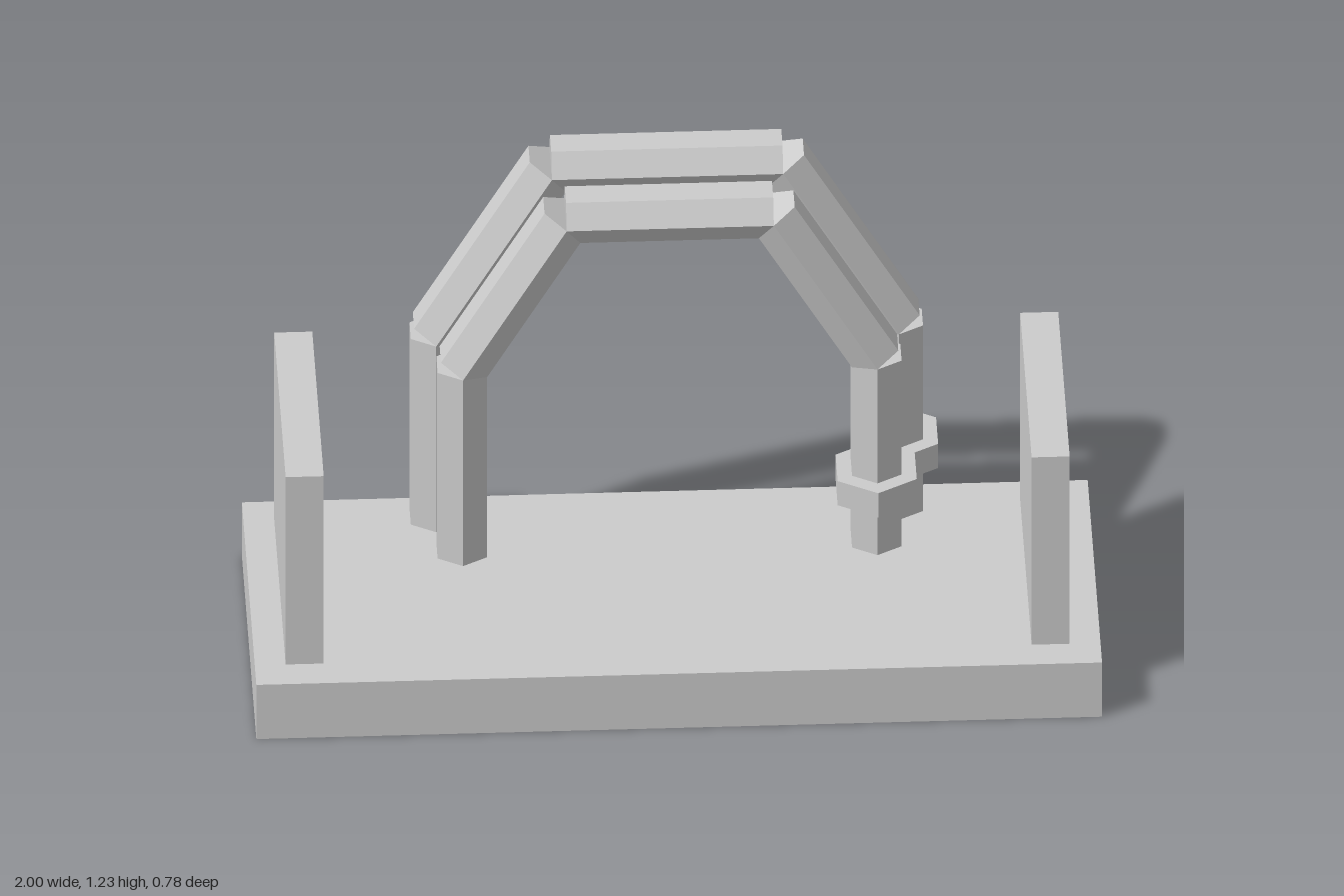
import * as THREE from 'three';

export function createModel() {
  const model = new THREE.Group();
  model.name = 'archedPipeStand';
  const grey = new THREE.MeshStandardMaterial({ color: 0xcccccc, flatShading: true });
  grey.name = 'plain grey';

  function add(parent, name, geometry, x, y, z) {
    const mesh = new THREE.Mesh(geometry, grey);
    mesh.name = name;
    mesh.position.set(x, y, z);
    parent.add(mesh);
    return mesh;
  }

  const baseTop = 0.157;
  const springY = 0.695; // height where the straight legs end
  const pipeRadius = 0.0677;

  // base slab
  add(model, 'base', new THREE.BoxGeometry(2, baseTop, 0.745), 0, baseTop / 2, 0.0175);

  // end walls
  for (const side of [1, -1]) {
    const name = side > 0 ? 'leftWall' : 'rightWall';
    add(model, name, new THREE.BoxGeometry(0.09, 0.543, 0.59), side * 0.882, baseTop + 0.2715, 0.015);
  }

  // six-sided bar between two points, square cut at both ends
  function bar(parent, name, x1, y1, x2, y2) {
    const dx = x2 - x1, dy = y2 - y1;
    const geometry = new THREE.CylinderGeometry(pipeRadius, pipeRadius, Math.hypot(dx, dy), 6);
    const mesh = add(parent, name, geometry, (x1 + x2) / 2, (y1 + y2) / 2, 0);
    mesh.rotation.z = Math.atan2(-dx, dy);
  }

  // arches: upper half of a hexagon on two legs, with a collar on the left leg
  const arches = [
    { name: 'backArch', radius: 0.547, z: -0.28 },
    { name: 'frontArch', radius: 0.49, z: -0.139 },
  ];
  const collar = new THREE.Group();
  collar.name = 'collar';
  model.add(collar);

  for (const { name, radius, z } of arches) {
    const arch = new THREE.Group();
    arch.name = name;
    arch.position.z = z;
    model.add(arch);
    const shoulderX = radius / 2;
    const topY = springY + radius * Math.sin(Math.PI / 3);
    for (const side of [1, -1]) {
      const label = side > 0 ? 'left' : 'right';
      bar(arch, label + 'Leg', side * radius, baseTop, side * radius, springY);
      bar(arch, label + 'Slope', side * radius, springY, side * shoulderX, topY);
    }
    bar(arch, 'topBar', -shoulderX, topY, shoulderX, topY);
    add(collar, name + 'Collar', new THREE.CylinderGeometry(0.108, 0.108, 0.07, 6), radius, 0.33, z);
  }

  return model;
}
